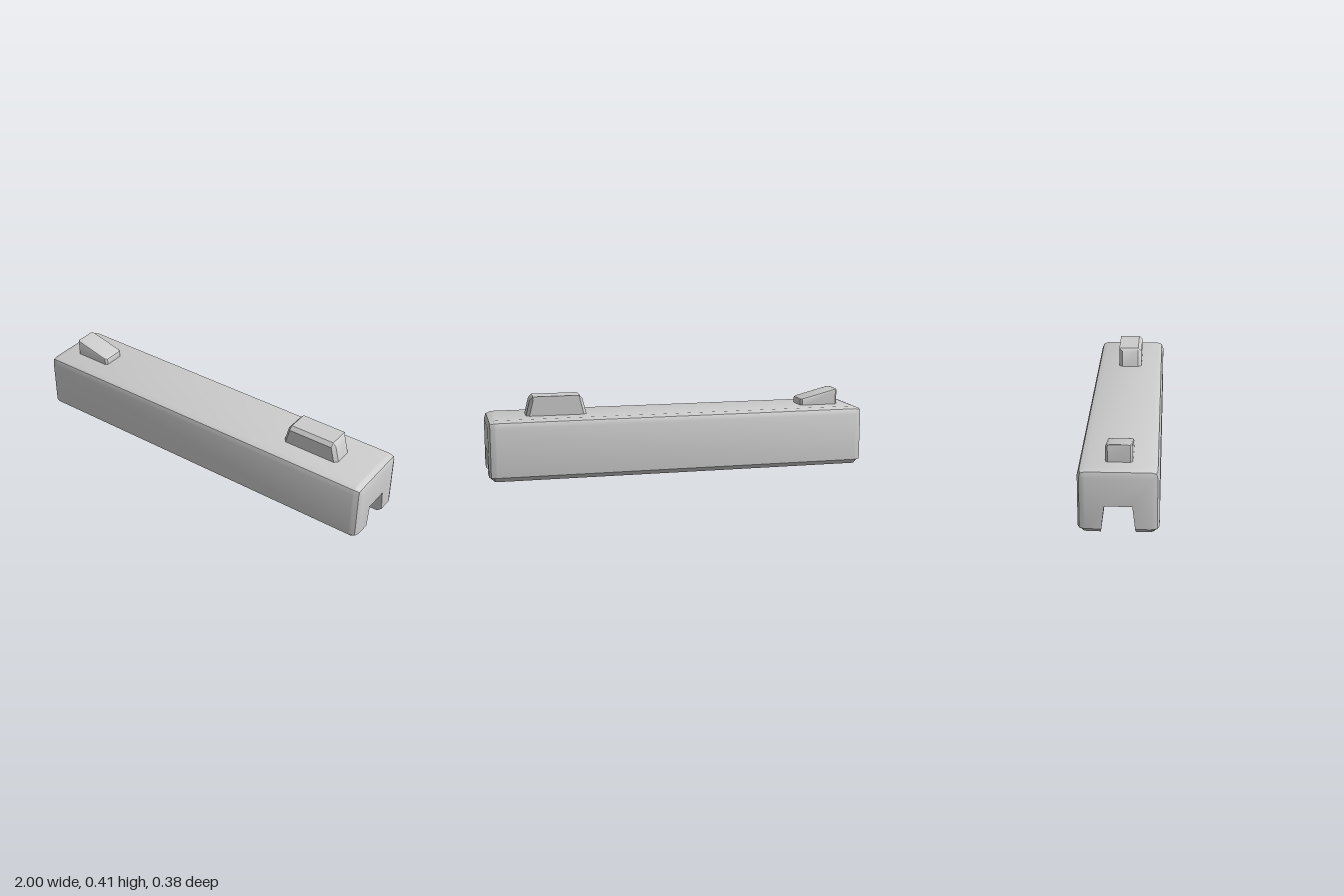
import * as THREE from 'three';
import { toCreasedNormals } from 'three/addons/utils/BufferGeometryUtils.js';

const material = new THREE.MeshStandardMaterial({ color: 0xcccccc });

// Skins a row of closed rings and caps both ends; flat() maps a point to the cap plane.
function loft(name, rings, flat) {
  const pos = [];
  const n = rings[0].length;
  const tri = (a, b, c) => {
    const area = b.clone().sub(a).cross(c.clone().sub(a)).length();
    if (area > 1e-9) for (const p of [a, b, c]) pos.push(p.x, p.y, p.z);
  };
  for (let r = 0; r < rings.length - 1; r++) {
    for (let i = 0; i < n; i++) {
      const j = (i + 1) % n;
      const a = rings[r], b = rings[r + 1];
      tri(a[i], a[j], b[j]);
      tri(a[i], b[j], b[i]);
    }
  }
  const first = rings[0], last = rings[rings.length - 1];
  for (const [ring, other] of [[first, last], [last, first]]) {
    const out = ring[0].clone().sub(other[0]);
    for (const [a, b, c] of THREE.ShapeUtils.triangulateShape(ring.map(flat), [])) {
      const [p, q, s] = [ring[a], ring[b], ring[c]];
      const normal = q.clone().sub(p).cross(s.clone().sub(p));
      if (normal.dot(out) > 0) tri(p, q, s);
      else tri(p, s, q);
    }
  }
  const geometry = new THREE.BufferGeometry();
  geometry.setAttribute('position', new THREE.Float32BufferAttribute(pos, 3));
  const mesh = new THREE.Mesh(toCreasedNormals(geometry, Math.PI / 6), material);
  mesh.name = name;
  return mesh;
}

// Rectangle with cut corners at height y (a number or a rule of x).
function cutRectangle(x0, x1, z0, z1, cx, cz, y) {
  const height = typeof y === 'function' ? y : () => y;
  return [
    [x1, z1 - cz], [x1, z0 + cz], [x1 - cx, z0], [x0 + cx, z0],
    [x0, z0 + cz], [x0, z1 - cz], [x0 + cx, z1], [x1 - cx, z1],
  ].map(([x, z]) => new THREE.Vector3(x, height(x), z));
}

// Arch-shaped section of the slide: rounded top, chamfered feet, tapered channel.
function slideSection(x, { w, h, mid, b, foot }) {
  const half = [
    [0.15, h], mid, [w, 0.275], [w, 0.025], [foot, b], [0.08 - 0.116 * b, b], [0.064, 0.138],
  ];
  const mirrored = half.map(([z, y]) => [-z, y]).reverse();
  return [...half, ...mirrored].map(([z, y]) => new THREE.Vector3(x, y, z));
}

function createModel() {
  const group = new THREE.Group();
  const fromSide = (p) => new THREE.Vector2(p.z, p.y);
  const fromTop = (p) => new THREE.Vector2(p.x, p.z);

  // Slide body, with bevelled ends
  const end = [
    [1, { w: 0.15, h: 0.275, mid: [0.15, 0.275], b: 0.025, foot: 0.15 }],
    [0.99, { w: 0.178, h: 0.302, mid: [0.172, 0.297], b: 0.015, foot: 0.146 }],
    [0.975, { w: 0.1834, h: 0.308, mid: [0.175, 0.3], b: 0, foot: 0.142 }],
    [0.967, { w: 0.1862, h: 0.311, mid: [0.177, 0.301], b: 0, foot: 0.16 }],
    [0.96, { w: 0.188, h: 0.313, mid: [0.178, 0.302], b: 0, foot: 0.163 }],
  ];
  const sections = [
    ...end.map(([x, s]) => slideSection(-x, s)),
    ...[...end].reverse().map(([x, s]) => slideSection(x, s)),
  ];
  group.add(loft('slideBody', sections, fromSide));

  // Trapezoid block, chamfered on every top edge but the back one
  const block = loft('frontSight', [
    cutRectangle(-0.16, 0.16, -0.064, 0.064, 0.016, 0.019, 0.3),
    cutRectangle(-0.136, 0.136, -0.064, 0.064, 0.016, 0.019, 0.395),
    cutRectangle(-0.12, 0.12, -0.064, 0.045, 0, 0, 0.413),
  ], fromTop);
  block.position.x = 0.64;
  group.add(block);

  // Wedge sloping down towards the middle, with softened edges
  const slope = (drop) => (x) => 0.397 - drop - 0.25 * (x + 0.89);
  group.add(loft('rearSight', [
    cutRectangle(-0.9, -0.69, -0.063, 0.063, 0.01, 0.01, 0.3),
    cutRectangle(-0.9, -0.69, -0.063, 0.063, 0.01, 0.01, slope(0.011)),
    cutRectangle(-0.898, -0.693, -0.06, 0.06, 0.009, 0.009, slope(0.003)),
    cutRectangle(-0.89, -0.7, -0.054, 0.054, 0.006, 0.006, slope(0)),
  ], fromTop));

  return group;
}

export { createModel };
